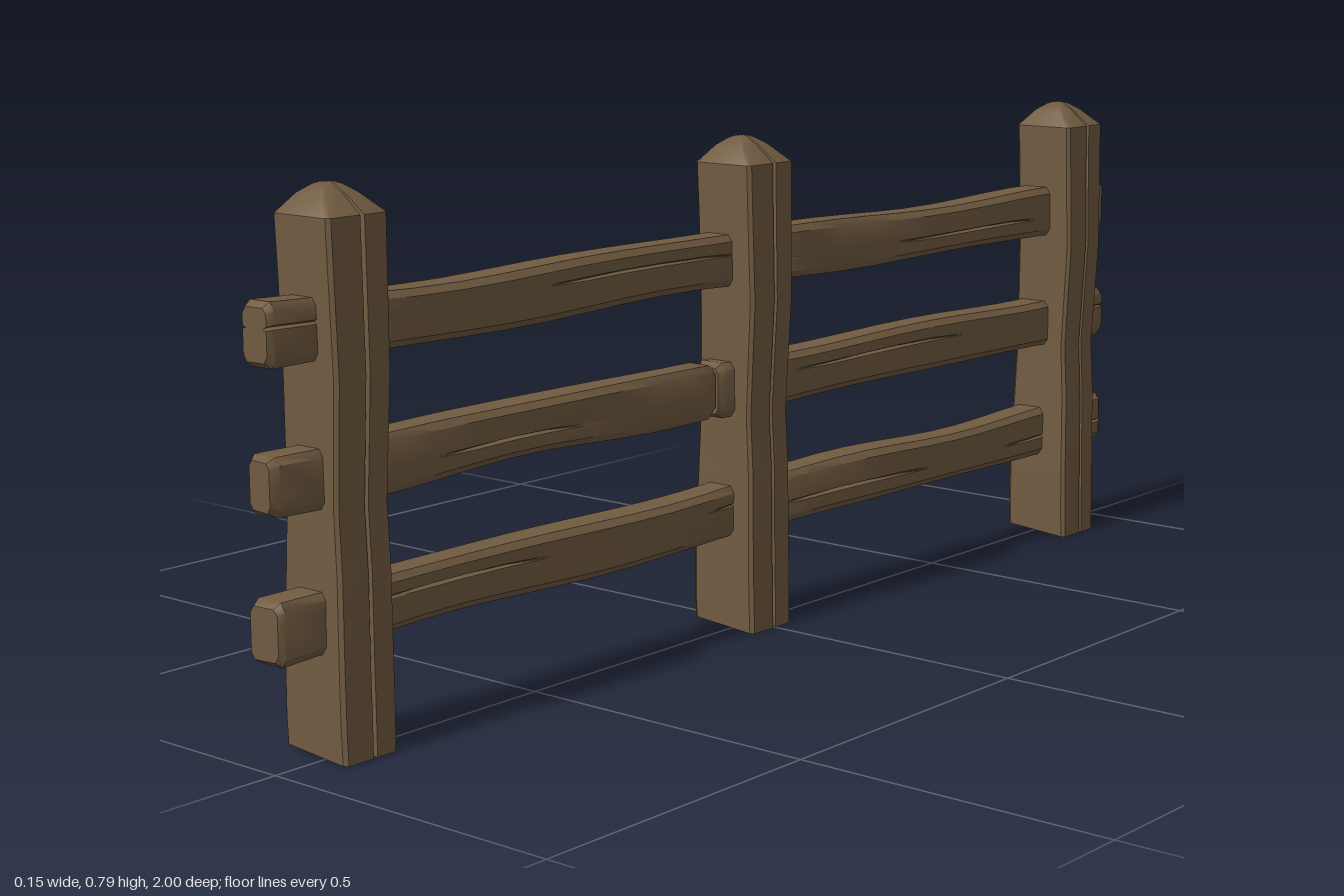
import * as THREE from 'three';
import { toCreasedNormals } from 'three/addons/utils/BufferGeometryUtils.js';

// Bevelled square section with a V-shaped crack on its two v sides.
function section(bevel, crackAt, depth) {
  const b = 1 - bevel, g = crackAt, c = 0.07, d = 1 - depth;
  return [[1, -b], [1, b], [b, 1], [g + c, 1], [g, d], [g - c, 1], [-b, 1],
    [-1, b], [-1, -b], [-b, -1], [g - c, -1], [g, -d], [g + c, -1], [b, -1]];
}

// Skins rows {w, u, v, hu, hv, crack, slant} along w; place(u, v, w) gives the position.
function loft(rows, bevel, crackAt, place) {
  const pos = [], idx = [];
  let n = 0;
  rows.forEach((r) => {
    const ring = section(bevel, crackAt, r.crack || 0);
    n = ring.length;
    ring.forEach(([a, b]) => pos.push(...place(r.u + a * r.hu, r.v + b * r.hv, r.w + (r.slant || 0) * b)));
  });
  for (let j = 0; j < rows.length - 1; j++) {
    for (let i = 0; i < n; i++) {
      const a = j * n + i, b = j * n + (i + 1) % n;
      idx.push(a, b, b + n, a, b + n, a + n);
    }
  }
  // end caps
  const last = (rows.length - 1) * n;
  [[0, rows[0]], [last, rows[rows.length - 1]]].forEach(([start, r], end) => {
    const c = pos.length / 3;
    pos.push(...place(r.u, r.v, r.w));
    for (let i = 0; i < n; i++) {
      const a = start + i, b = start + (i + 1) % n;
      if (end) idx.push(c, a, b); else idx.push(c, b, a);
    }
  });
  const g = new THREE.BufferGeometry();
  g.setAttribute('position', new THREE.Float32BufferAttribute(pos, 3));
  g.setIndex(idx);
  return toCreasedNormals(g, 0.6);
}

// Post profile: height, z min, z max, x min, x max, crack depth, slant
const POST = [
  [0.006, -0.042, 0.054, -0.073, 0.049, 0.3, -0.005],
  [0.05, -0.044, 0.055, -0.074, 0.048, 0.25, 0],
  [0.14, -0.046, 0.053, -0.075, 0.045, 0.12, 0],
  [0.26, -0.048, 0.05, -0.071, 0.042, 0.1, 0],
  [0.35, -0.05, 0.047, -0.068, 0.035, 0.1, 0],
  [0.53, -0.051, 0.05, -0.065, 0.046, 0.15, 0],
  [0.66, -0.054, 0.052, -0.067, 0.043, 0.22, 0],
  [0.745, -0.055, 0.054, -0.069, 0.042, 0.3, 0],
  [0.772, -0.03, 0.032, -0.046, 0.012, 0.3, 0],
  [0.783, -0.014, 0.016, -0.031, -0.004, 0.15, 0],
  [0.786, -0.006, 0.008, -0.024, -0.011, 0, 0],
];

function postGeometry() {
  const rows = POST.map(([w, z0, z1, x0, x1, crack, slant]) => ({
    w, u: (z0 + z1) / 2, hu: (z1 - z0) / 2, v: (x0 + x1) / 2, hv: (x1 - x0) / 2, crack, slant,
  }));
  return loft(rows, 0.1, -0.12, (z, x, y) => [x, y, z]);
}

// Rough-hewn rail from z0 to z1, drifting in x from xa to xb.
function railGeometry(y, z0, z1, xa, xb, seed) {
  const rows = [], steps = 12;
  const len = z1 - z0, chip = 0.014 / len;
  const ts = [0, chip];
  for (let i = 1; i < steps; i++) ts.push(i / steps);
  ts.push(1 - chip, 1);
  ts.forEach((t) => {
    const end = t === 0 || t === 1;
    const shrink = end ? 0.82 : 1;
    const s = Math.sin(t * Math.PI);
    rows.push({
      w: z0 + len * t,
      u: y + 0.003 * Math.sin(t * 8 + seed * 2),
      v: -(xa + (xb - xa) * t + 0.006 * s * Math.sin(t * 6 + seed)),
      hu: shrink * (0.043 - 0.003 * s + 0.002 * Math.sin(t * 11 + seed * 3)),
      hv: shrink * (0.028 + 0.003 * s + 0.002 * Math.sin(t * 9 + seed * 5)),
      crack: 0.3 * Math.max(0, Math.sin(t * 9 + seed * 1.7)),
      slant: end ? 0.003 * Math.sin(seed * 4) * (t ? -1 : 1) : 0,
    });
  });
  rows[0].w += 0.003;
  rows[rows.length - 1].w -= 0.003;
  return loft(rows, 0.26, seed % 2 ? 0.25 : -0.2, (yy, nx, z) => [-nx, yy, z]);
}

export function createModel() {
  const wood = new THREE.MeshStandardMaterial({ color: 0x715b41 });
  wood.name = 'brown wood';
  const group = new THREE.Group();
  group.name = 'fence';
  const add = (name, geometry, x = 0, z = 0) => {
    const mesh = new THREE.Mesh(geometry, wood);
    mesh.name = name;
    mesh.position.set(x, 0, z);
    group.add(mesh);
  };

  // three posts
  const post = postGeometry();
  add('frontPost', post, 0, 0.863);
  add('middlePost', post, 0.003, 0.003);
  add('backPost', post, 0.026, -0.86);

  // three rows of rails, each a front and a back length meeting near the middle post
  [[0.194, -0.056], [0.395, 0.088], [0.593, -0.056]].forEach(([y, joint], i) => {
    add('frontRail' + (i + 1), railGeometry(y, joint, 1, -0.02, -0.016, i + 1));
    add('backRail' + (i + 1), railGeometry(y - 0.002, -1, joint - 0.004, 0, -0.02, i + 4));
  });
  return group;
}
